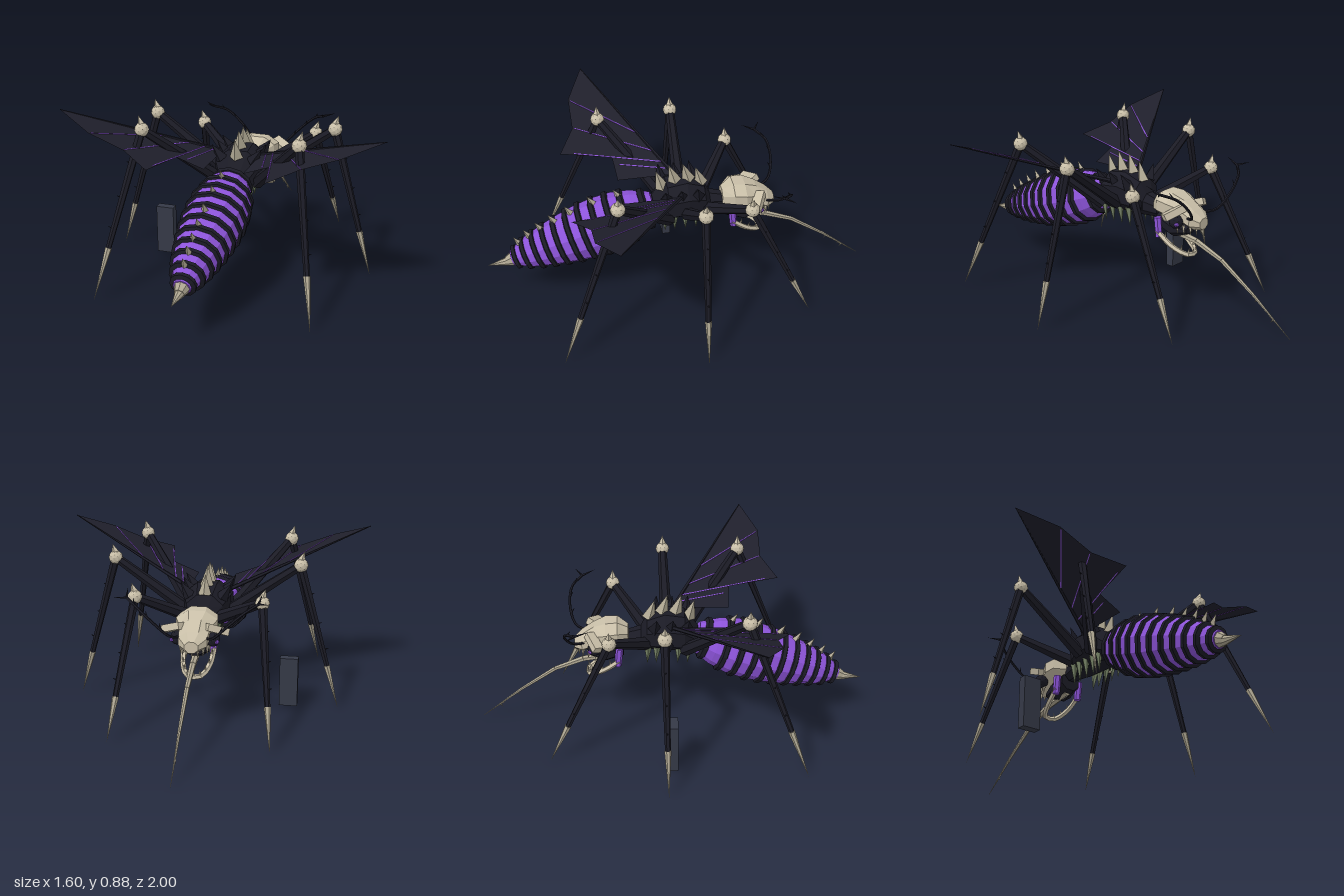
import * as THREE from 'three';

const mat = (name, color, side = THREE.FrontSide) =>
  Object.assign(new THREE.MeshStandardMaterial({ color, flatShading: true, side }), { name });
const V = (x, y, z) => new THREE.Vector3(x, y, z);

export function createModel() {
  const model = new THREE.Group();
  const black = mat('black shell', 0x1b1b25);
  const wingMat = mat('wing membrane', 0x1f1f2b, THREE.DoubleSide);
  const purple = mat('purple', 0x8d54da);
  const bone = mat('bone', 0xc9bfa8);
  const horn = mat('horn', 0xb0a893);
  const green = mat('dull green', 0x7d8a6c);
  const slate = mat('slate', 0x353947);

  const add = (name, geo, material, parent = model) => {
    const m = new THREE.Mesh(geo, material);
    m.name = name;
    parent.add(m);
    return m;
  };
  // tapered rod from a to b
  const rod = (name, a, b, r0, r1, material, sides = 6, parent = model) => {
    const d = b.clone().sub(a);
    const m = add(name, new THREE.CylinderGeometry(r1, r0, d.length(), sides), material, parent);
    m.position.copy(a).addScaledVector(d, 0.5);
    m.quaternion.setFromUnitVectors(V(0, 1, 0), d.normalize());
    return m;
  };
  const spike = (name, a, b, r, material, sides = 4) => rod(name, a, b, r, 0, material, sides);
  // elliptical sections [z, y, rx, ry] in order of rising z, joined and capped
  const loft = (sections, n) => {
    const pos = [];
    const p = (i, j) => {
      const [z, y, rx, ry] = sections[i], t = ((j + 0.5) / n) * Math.PI * 2;
      return [rx * Math.cos(t), y + ry * Math.sin(t), z];
    };
    const mid = (i) => [0, sections[i][1], sections[i][0]];
    const last = sections.length - 1;
    for (let j = 0; j < n; j++) {
      for (let i = 0; i < last; i++) {
        const a = p(i, j), b = p(i, j + 1), c = p(i + 1, j + 1), d = p(i + 1, j);
        pos.push(...a, ...b, ...c, ...a, ...c, ...d);
      }
      pos.push(...mid(0), ...p(0, j + 1), ...p(0, j), ...mid(last), ...p(last, j), ...p(last, j + 1));
    }
    const g = new THREE.BufferGeometry();
    g.setAttribute('position', new THREE.Float32BufferAttribute(pos, 3));
    g.computeVertexNormals();
    return g;
  };

  // thorax and neck
  add('thorax', loft([[-0.23, 0.49, 0.045, 0.045], [-0.15, 0.5, 0.06, 0.06], [-0.12, 0.53, 0.1, 0.09],
    [-0.03, 0.55, 0.13, 0.11], [0.07, 0.54, 0.13, 0.105], [0.14, 0.49, 0.08, 0.06]], 8), black);
  [-0.1, -0.035, 0.035, 0.1].forEach((z, i) => {
    const y = [0.61, 0.64, 0.64, 0.61][i];
    spike('backSpike', V(0, y, z - 0.01), V(0, y + 0.1, z + 0.02), 0.035, horn);
  });

  // abdomen: purple core with raised black bands
  const A = V(0, 0.5, 0.13), B = V(0, 0.265, 0.87);
  const axis = B.clone().sub(A), len = axis.length();
  const radius = [0.08, 0.125, 0.148, 0.153, 0.148, 0.133, 0.113, 0.088, 0.045];
  const rAt = (t) => {
    const f = Math.min(Math.max(t, 0), 1) * 8, i = Math.min(Math.floor(f), 7);
    return THREE.MathUtils.lerp(radius[i], radius[i + 1], f - i);
  };
  const abdomen = new THREE.Group();
  abdomen.name = 'abdomen';
  abdomen.position.copy(A);
  abdomen.quaternion.setFromUnitVectors(V(0, 1, 0), axis.clone().normalize());
  model.add(abdomen);
  const core = radius.map((r, i) => new THREE.Vector2(r - 0.004, (i / 8) * len));
  core.unshift(new THREE.Vector2(0, 0));
  core.push(new THREE.Vector2(0, len));
  add('abdomenCore', new THREE.LatheGeometry(core, 12), purple, abdomen);
  [0.06, 0.19, 0.285, 0.38, 0.475, 0.565, 0.655, 0.74, 0.82, 0.9, 0.97].forEach((t) => {
    const h = 0.021 - t * 0.005, y = t * len, r = rAt(t);
    const band = [[-0.012, -h], [0.008, -h * 0.55], [0.008, h * 0.55], [-0.012, h]]
      .map(([dr, dy]) => new THREE.Vector2(r + dr, y + dy));
    add('abdomenBand', new THREE.LatheGeometry(band, 12), black, abdomen);
  });
  const up = V(0, axis.z, -axis.y).normalize();
  [0.19, 0.36, 0.52, 0.64, 0.74, 0.83, 0.91].forEach((t) => {
    const base = A.clone().addScaledVector(axis, t).addScaledVector(up, rAt(t) - 0.005);
    spike('abdomenSpike', base, base.clone().addScaledVector(up, 0.05).add(V(0, 0, 0.015)), 0.018, horn);
  });
  rod('stingerBase', V(0, 0.27, 0.85), V(0, 0.25, 0.9), 0.045, 0.025, horn, 8);
  spike('stinger', V(0, 0.25, 0.89), V(0, 0.235, 1), 0.025, horn, 8);

  // skull
  add('skull', loft([[-0.49, 0.47, 0.035, 0.03], [-0.45, 0.485, 0.075, 0.052], [-0.39, 0.515, 0.08, 0.065],
    [-0.33, 0.535, 0.11, 0.07], [-0.27, 0.54, 0.1, 0.068], [-0.215, 0.52, 0.05, 0.05]], 8), bone);
  add('throat', loft([[-0.41, 0.42, 0.04, 0.02], [-0.33, 0.42, 0.07, 0.05], [-0.24, 0.45, 0.06, 0.05]], 8), black);
  const jaw = new THREE.CatmullRomCurve3([V(0.075, 0.4, -0.26), V(0.065, 0.335, -0.35), V(0.03, 0.3, -0.42),
    V(-0.03, 0.3, -0.42), V(-0.065, 0.335, -0.35), V(-0.075, 0.4, -0.26)]);
  add('lowerJaw', new THREE.TubeGeometry(jaw, 14, 0.014, 5), bone);
  for (let i = 1; i < 10; i++) {
    const p = jaw.getPoint(i / 10);
    spike('lowerTooth', p, p.clone().add(V(0, 0.04, -0.008)), 0.008, bone);
  }
  for (let i = 0; i < 9; i++) {
    const t = (i / 8 - 0.5) * Math.PI;
    const p = V(0.07 * Math.sin(t), 0.46, -0.38 - 0.09 * Math.cos(t));
    spike('upperTooth', p, p.clone().add(V(0, -0.05, -0.005)), 0.01, bone);
  }

  // proboscis with barbs
  const beak = [V(0, 0.4, -0.27), V(0, 0.37, -0.45), V(0, 0.31, -0.6), V(0, 0.18, -0.79), V(0, 0.015, -1)];
  beak.slice(1).forEach((b, i) =>
    rod('proboscis', beak[i], b, 0.02 - i * 0.004, i === 3 ? 0.001 : 0.016 - i * 0.004, horn));
  [[0.24, -0.71], [0.165, -0.81], [0.09, -0.905]].forEach(([y, z]) => {
    spike('beakBarb', V(0, y, z), V(0, y + 0.012, z + 0.03), 0.006, horn);
    spike('beakBarb', V(0, y, z), V(0, y - 0.02, z + 0.015), 0.006, horn);
  });

  // wing outline as x, z; height follows x
  const outline = [[0.1, 0], [0.8, 0.4], [0.61, 0.49], [0.43, 0.49], [0.285, 0.57], [0.235, 0.31], [0.1, 0.3]];
  const wingY = (x) => 0.57 + 0.38 * x;
  const veins = [[0.14, 0.05, 0.19, 0.28], [0.18, 0.06, 0.28, 0.5], [0.25, 0.1, 0.43, 0.48], [0.37, 0.17, 0.6, 0.48]];

  // legs: hip, knee, foot
  const legs = [
    ['frontLeg', [0.07, 0.5, -0.12], [0.31, 0.645, -0.3], [0.39, 0.01, -0.61]],
    ['middleLeg', [0.1, 0.5, -0.02], [0.47, 0.765, -0.035], [0.68, 0.005, -0.02]],
    ['backLeg', [0.1, 0.48, 0.07], [0.39, 0.8, 0.36], [0.54, 0.01, 0.67]],
  ];

  for (const s of [1, -1]) {
    const P = (x, y, z) => V(s * x, y, z);

    // eyes, brows and cheeks
    const eye = add('eye', new THREE.IcosahedronGeometry(0.036, 1), black);
    eye.position.set(s * 0.085, 0.48, -0.385);
    const iris = add('iris', new THREE.IcosahedronGeometry(0.013, 0), purple);
    iris.position.set(s * 0.108, 0.475, -0.406);
    const brow = add('brow', new THREE.BoxGeometry(0.11, 0.035, 0.05), bone);
    brow.position.set(s * 0.105, 0.53, -0.385);
    brow.rotation.set(0.3, -s * 0.55, -s * 0.2);
    rod('cheekMuscle', P(0.07, 0.47, -0.26), P(0.07, 0.37, -0.27), 0.02, 0.018, purple);

    // antenna
    const curve = new THREE.CatmullRomCurve3([P(0.06, 0.5, -0.43), P(0.1, 0.52, -0.49), P(0.17, 0.59, -0.52),
      P(0.25, 0.66, -0.51), P(0.31, 0.69, -0.46)]);
    add('antenna', new THREE.TubeGeometry(curve, 14, 0.007, 5), black);
    const tip = curve.getPoint(1);
    spike('antennaTip', tip, P(0.37, 0.7, -0.5), 0.007, black);
    spike('antennaTip', tip, P(0.32, 0.72, -0.39), 0.007, black);
    [0.4, 0.6, 0.8].forEach((t) => {
      const p = curve.getPoint(t);
      spike('antennaBarb', p, p.clone().add(P(0.01, 0.03, 0.02)), 0.006, black);
    });

    // shoulder horns and belly spikes
    [-0.08, 0, 0.08].forEach((z) => spike('shoulderHorn', P(0.08, 0.59, z), P(0.13, 0.665, z + 0.01), 0.035, black));
    [0.09, 0.04, -0.015, -0.07, -0.115].forEach((z) =>
      spike('bellySpike', P(0.07, 0.48, z), P(0.06, 0.375, z - 0.005), 0.02, green, 5));

    // wing
    const g = new THREE.ShapeGeometry(new THREE.Shape(outline.map(([x, z]) => new THREE.Vector2(x, z))));
    const at = g.attributes.position;
    for (let i = 0; i < at.count; i++) at.setXYZ(i, s * at.getX(i), wingY(at.getX(i)), at.getY(i));
    g.computeVertexNormals();
    add('wing', g, wingMat);
    veins.forEach(([x0, z0, x1, z1]) =>
      rod('wingVein', P(x0, wingY(x0), z0), P(x1, wingY(x1), z1), 0.004, 0.003, purple, 4));
    rod('wingSpar', P(0.08, 0.6, 0), P(0.8, wingY(0.8), 0.4), 0.012, 0.002, black, 5);

    // legs
    for (const [name, h, k, f] of legs) {
      const hip = P(...h), knee = P(...k), foot = P(...f);
      const ankle = knee.clone().lerp(foot, 0.69);
      rod(name + 'Upper', hip, knee, 0.034, 0.022, black);
      rod(name + 'Lower', knee, ankle, 0.022, 0.014, black);
      spike(name + 'Claw', ankle, foot, 0.017, horn, 6);
      add(name + 'Knee', new THREE.IcosahedronGeometry(0.036, 1), bone).position.copy(knee);
      spike(name + 'KneeSpike', knee.clone().add(V(0, 0.02, 0)), knee.clone().add(P(0.015, 0.07, 0)), 0.022, bone);
      [0.2, 0.4, 0.58].forEach((t) => {
        const p = knee.clone().lerp(foot, t);
        spike(name + 'Thorn', p, p.clone().add(P(0.03, 0.012, 0)), 0.008, black);
      });
    }
  }

  // standing block
  add('block', new THREE.BoxGeometry(0.094, 0.26, 0.045), slate).position.set(-0.422, 0.13, 0.007);
  return model;
}
